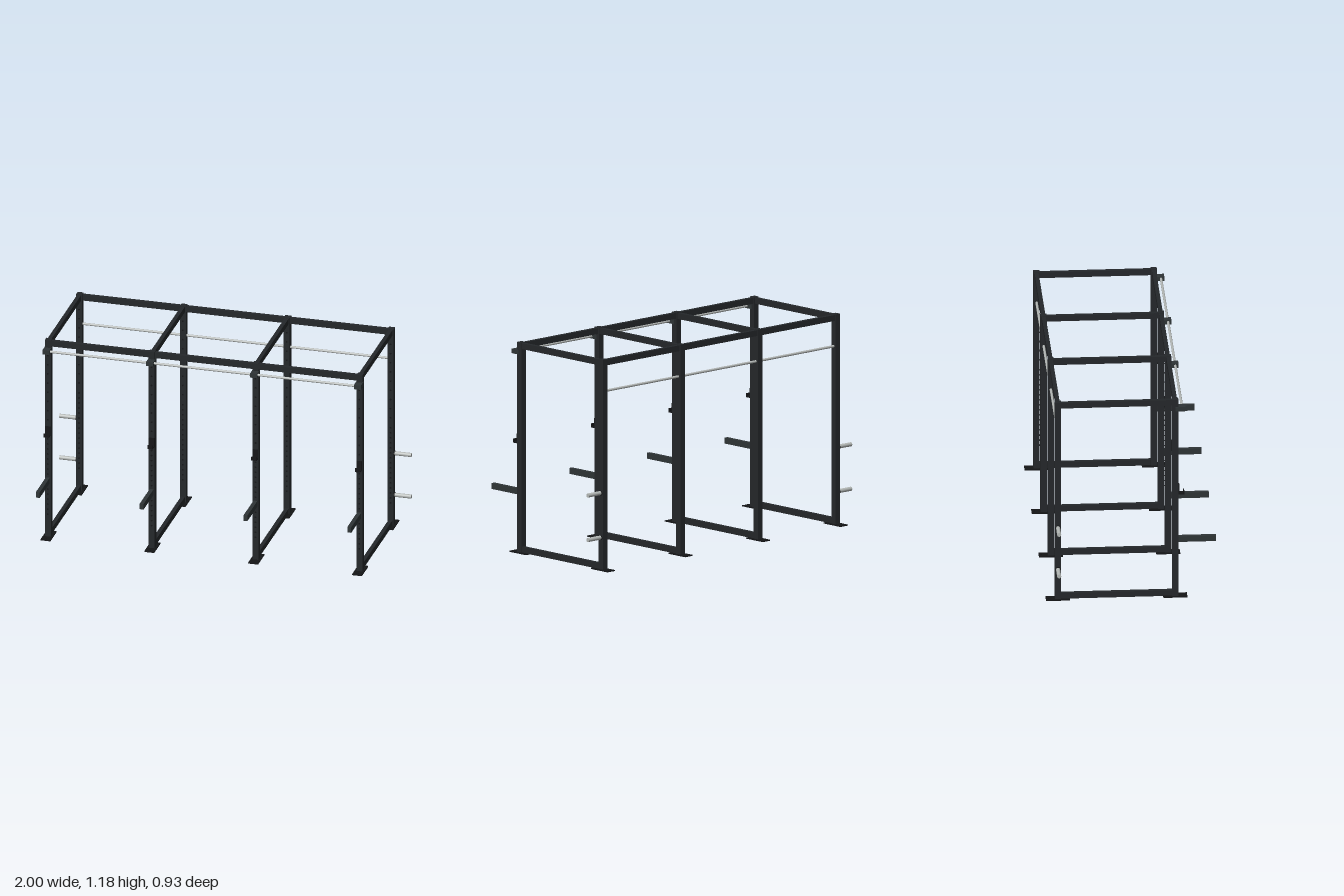
import * as THREE from 'three';

const mat = (color) => new THREE.MeshStandardMaterial({ color });
const steel = mat(0x24272a), black = mat(0x141517), armGrey = mat(0x2e3436), chrome = mat(0xb4b8b6);

const FRONT = 0.246, BACK = -0.398, POST = 0.034, HEIGHT = 1.18;
const COLUMNS = [-0.885, -0.295, 0.295, 0.885];

export function createModel() {
  const model = new THREE.Group();

  const add = (name, geometry, material, x, y, z, parent = model) => {
    const mesh = new THREE.Mesh(geometry, material);
    mesh.name = name;
    mesh.position.set(x, y, z);
    parent.add(mesh);
    return mesh;
  };
  const box = (name, w, h, d, x, y, z, material = steel, parent = model) =>
    add(name, new THREE.BoxGeometry(w, h, d), material, x, y, z, parent);
  const rodX = (name, radius, length, x, y, z, material = chrome) =>
    add(name, new THREE.CylinderGeometry(radius, radius, length, 20).rotateZ(Math.PI / 2), material, x, y, z);

  // Hole heights: close pitch low down, wider above
  const holes = [];
  for (let y = 0.14; y < 0.6; y += 0.03) holes.push(y);
  for (let y = 0.65; y < 1.1; y += 0.055) holes.push(y);
  const holeDisc = new THREE.CylinderGeometry(0.005, 0.005, 0.002, 10).rotateX(Math.PI / 2);
  const bolt = new THREE.CylinderGeometry(0.005, 0.005, 0.004, 8);

  for (const x of COLUMNS) {
    // Uprights with foot plates, anchor bolts and adjustment holes
    for (const z of [FRONT, BACK]) {
      const name = z > 0 ? 'front' : 'back';
      const upright = new THREE.Group();
      upright.name = name + 'Upright';
      model.add(upright);
      box(name + 'Post', POST, HEIGHT, POST, x, HEIGHT / 2, z, steel, upright);
      box(name + 'FootPlate', 0.056, 0.006, 0.132, x, 0.003, z, black, upright);
      for (const s of [-1, 1]) add('anchorBolt', bolt, black, x, 0.007, z + s * 0.053, upright);
      for (const y of holes) add('holeRing', holeDisc, black, x, y, z + POST / 2 + 0.0005, upright);
    }

    // Floor and roof rails joining front to back
    const span = FRONT - BACK - POST, mid = (FRONT + BACK) / 2;
    box('floorRail', 0.022, 0.033, span, x, 0.021, mid);
    box('roofRail', 0.022, 0.033, span, x, 1.16, mid);

    // Bracket carrying the front bar
    box('barBracket', 0.04, 0.025, 0.056, x, 1.124, 0.275, armGrey);

    // Hook: back plate, shelf and lip
    const hook = new THREE.Group();
    hook.name = 'barHook';
    model.add(hook);
    box('hookPlate', 0.03, 0.055, 0.007, x, 0.639, 0.266, black, hook);
    box('hookShelf', 0.03, 0.007, 0.032, x, 0.615, 0.279, black, hook);
    box('hookLip', 0.03, 0.022, 0.005, x, 0.623, 0.293, black, hook);

    // Safety arm
    box('safetyArm', 0.022, 0.033, 0.207, x, 0.342, 0.366, armGrey);
  }

  // Long roof beams between neighbouring uprights
  for (let i = 0; i < COLUMNS.length - 1; i++) {
    const a = COLUMNS[i], b = COLUMNS[i + 1];
    for (const z of [FRONT, BACK]) {
      box(z > 0 ? 'frontBeam' : 'backBeam', b - a - POST, 0.033, 0.022, (a + b) / 2, 1.16, z);
    }
  }

  // Pull-up bars
  rodX('frontPullUpBar', 0.007, 1.77, 0, 1.124, 0.285);
  rodX('backPullUpBar', 0.007, 1.77, 0, 1.0, BACK);

  // Plate storage pegs on the outer back posts
  for (const s of [-1, 1]) {
    for (const y of [0.184, 0.433]) {
      rodX('storagePeg', 0.0115, 0.1, s * 0.95, y, BACK);
      rodX('pegCollar', 0.014, 0.005, s * 0.9045, y, BACK, black);
    }
  }
  return model;
}
